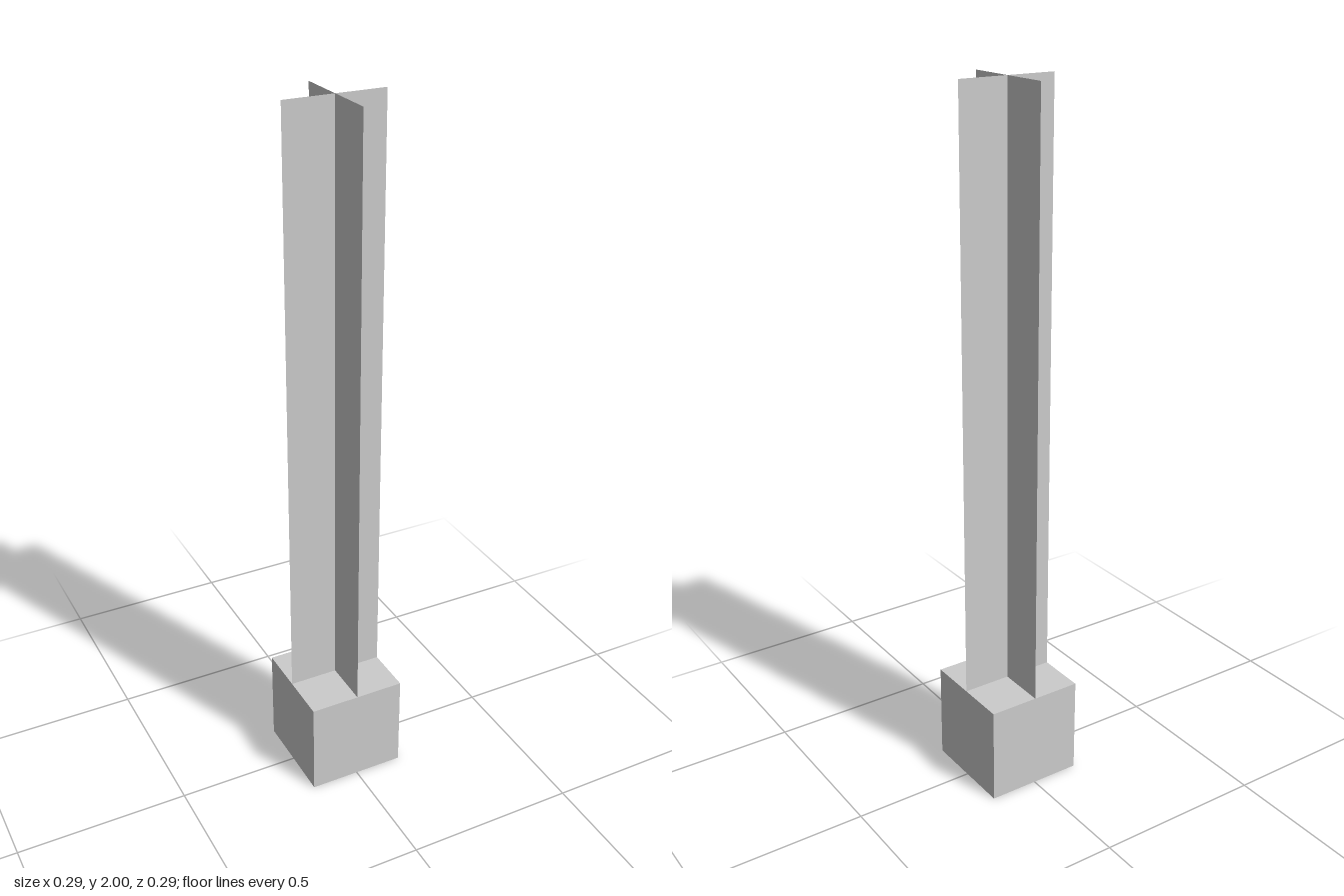
import * as THREE from 'three';

export function createModel() {
  const group = new THREE.Group();
  const size = 2 / 7; // cube edge and blade width
  const bladeHeight = 2 - size;

  // Solid cube base
  const base = new THREE.Mesh(
    new THREE.BoxGeometry(size, size, size),
    new THREE.MeshStandardMaterial({ color: 0xcccccc, flatShading: true })
  );
  base.name = 'base';
  base.position.y = size / 2;
  group.add(base);

  // Two thin crossed blades standing on the base
  const bladeMaterial = new THREE.MeshStandardMaterial({
    color: 0xcccccc, flatShading: true, side: THREE.DoubleSide
  });
  const bladeGeometry = new THREE.PlaneGeometry(size, bladeHeight);
  ['bladeAcross', 'bladeAlong'].forEach((name, i) => {
    const blade = new THREE.Mesh(bladeGeometry, bladeMaterial);
    blade.name = name;
    blade.position.y = size + bladeHeight / 2;
    blade.rotation.y = i * Math.PI / 2;
    group.add(blade);
  });

  return group;
}
